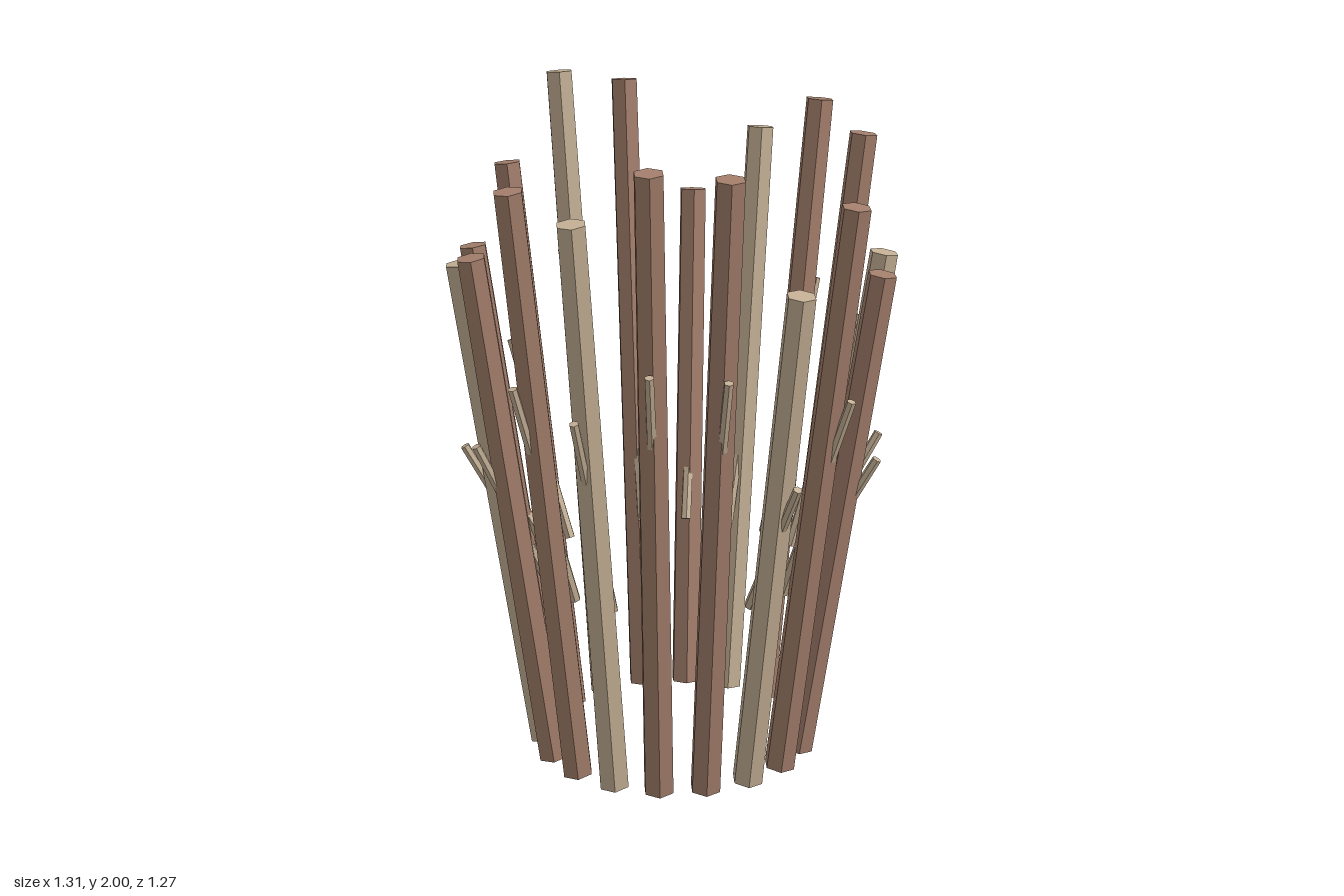
import * as THREE from 'three';

const COUNT = 18;
const UP = new THREE.Vector3(0, 1, 0);

// Height of each post, starting at +x and turning towards +z in 20 degree steps
const HEIGHTS = [
  1.54, 1.53, 1.77, 1.56, 1.90, 1.92, 1.77, 1.83, 1.60,
  1.53, 1.53, 1.74, 1.99, 1.95, 1.60, 1.81, 1.92, 1.85,
];

// The ring is slightly wider in x than in z
const ringPoint = (angle, rx, rz, y) =>
  new THREE.Vector3(Math.cos(angle) * rx, y, Math.sin(angle) * rz);

// Tapered six-sided pole between two points
function pole(name, from, to, rTop, rBottom, material) {
  const dir = to.clone().sub(from);
  const mesh = new THREE.Mesh(new THREE.CylinderGeometry(rTop, rBottom, dir.length(), 6), material);
  mesh.position.copy(from).add(to).multiplyScalar(0.5);
  mesh.quaternion.setFromUnitVectors(UP, dir.normalize());
  mesh.name = name;
  return mesh;
}

export function createModel() {
  const brown = new THREE.MeshStandardMaterial({ color: 0xa47f6c, flatShading: true });
  brown.name = 'brown bark';
  const tan = new THREE.MeshStandardMaterial({ color: 0xc4b095, flatShading: true });
  tan.name = 'pale wood';

  const model = new THREE.Group();
  model.name = 'stakeRing';

  for (let i = 0; i < COUNT; i++) {
    const angle = (i / COUNT) * Math.PI * 2;
    const h = HEIGHTS[i];
    const stake = new THREE.Group();
    stake.name = 'stake' + (i + 1);

    // Post leaning outwards; every third one is pale
    stake.add(pole('post',
      ringPoint(angle, 0.4, 0.382, 0.005), ringPoint(angle, 0.62, 0.603, h),
      0.0435, 0.048, i % 3 === 0 ? tan : brown));

    // Thin twig running through the post, low on the inside and high on the outside
    stake.add(pole('twig',
      ringPoint(angle, 0.4, 0.382, 0.57), ringPoint(angle, 0.62, 0.603, h - 0.56),
      0.014, 0.017, tan));
    model.add(stake);
  }
  return model;
}
